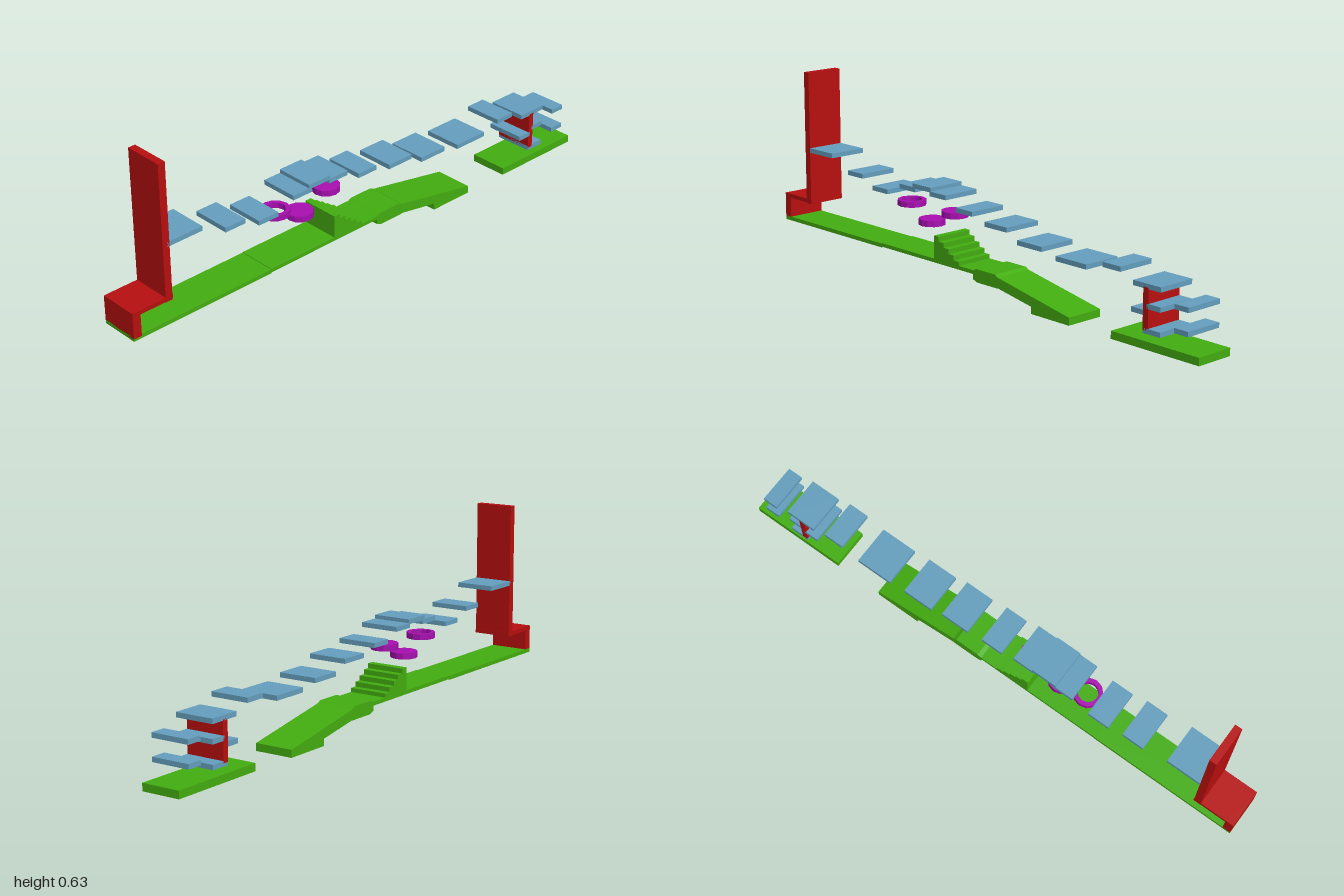
import * as THREE from 'three';

const DEPTH = 0.14;
const material = (color) => new THREE.MeshStandardMaterial({ color, flatShading: true });

export function createModel() {
  const group = new THREE.Group();
  const green = material(0x43ad10);
  const red = material(0xb80f0f);
  const blue = material(0x659fbe);
  const purple = material(0xa80fb0);

  const add = (name, geometry, mat) => {
    const mesh = new THREE.Mesh(geometry, mat);
    mesh.name = name;
    group.add(mesh);
    return mesh;
  };

  // Full-depth block given by its x and y extents
  const block = (name, x0, x1, y0, y1, mat) => {
    const mesh = add(name, new THREE.BoxGeometry(x1 - x0, y1 - y0, DEPTH), mat);
    mesh.position.set((x0 + x1) / 2, (y0 + y1) / 2, 0);
  };

  // Side profile extruded across the depth
  const profile = (name, points, mat, holes = []) => {
    const shape = new THREE.Shape(points.map(([x, y]) => new THREE.Vector2(x, y)));
    shape.holes.push(...holes);
    const geometry = new THREE.ExtrudeGeometry(shape, { depth: DEPTH, bevelEnabled: false });
    geometry.translate(0, 0, -DEPTH / 2);
    add(name, geometry, mat);
  };

  // Ground: long floor, hump, descending ramp and far island
  block('floorLeft', -1, -0.45, 0.072, 0.086, green);
  block('floorRight', -0.45, 0.03, 0.075, 0.088, green);
  profile('hump', [[0.02, 0.057], [0.04, 0.05], [0.135, 0.05], [0.14, 0.055],
    [0.14, 0.086], [0.125, 0.095], [0.035, 0.095], [0.02, 0.088]], green);
  profile('ramp', [[0.13, 0.053], [0.295, 0.024], [0.295, 0], [0.465, 0],
    [0.465, 0.026], [0.13, 0.089]], green);
  block('island', 0.645, 1, 0, 0.026, green);

  // Stairs descending to the right
  const stairs = [[-0.175, 0.08]];
  const steps = 5, run = 0.025, rise = 0.0165;
  for (let i = 0; i < steps; i++) {
    const x = -0.175 + i * run, y = 0.168 - i * rise;
    stairs.unshift([x, y], [x + run, y]);
  }
  // Reorder so the outline runs tread by tread from the top
  const outline = [[-0.175, 0.08]];
  for (let i = steps - 1; i >= 0; i--) {
    const x = -0.175 + i * run, y = 0.168 - i * rise;
    if (i === steps - 1) outline.push([x + run, 0.08]);
    outline.push([x + run, y], [x, y]);
  }
  profile('stairs', outline, green);

  // Red start ledge, tall wall and small pillar
  block('ledgeSide', -1, -0.97, 0.08, 0.172, red);
  block('ledgeTop', -1, -0.845, 0.157, 0.172, red);
  block('tallWall', -0.873, -0.847, 0.155, 0.635, red);
  block('pillar', 0.775, 0.796, 0.06, 0.195, red);

  // Floating platforms: x start, x end, underside height
  const platforms = [
    [-0.855, -0.72, 0.345], [-0.63, -0.55, 0.3], [-0.495, -0.415, 0.268],
    [-0.35, -0.27, 0.3], [-0.283, -0.19, 0.313], [-0.195, -0.115, 0.3],
    [-0.065, 0.015, 0.268], [0.075, 0.18, 0.246], [0.228, 0.34, 0.214],
    [0.403, 0.537, 0.197], [0.605, 0.68, 0.22], [0.733, 0.845, 0.19],
    [0.9, 0.955, 0.152], [0.79, 0.845, 0.128], [0.727, 0.782, 0.106],
    [0.9, 0.955, 0.078], [0.775, 0.845, 0.05],
  ];
  platforms.forEach(([x0, x1, y], i) => block(`platform${i + 1}`, x0, x1, y, y + 0.0165, blue));

  // Floating ring with an open centre
  const ring = new THREE.LatheGeometry([
    [0.035, -0.01], [0.05, -0.01], [0.05, 0.01], [0.035, 0.01], [0.035, -0.01],
  ].map(([r, y]) => new THREE.Vector2(r, y)), 12);
  add('ring', ring, purple).position.set(-0.368, 0.239, 0);

  // Floating discs
  [[-0.263, 0.19], [-0.146, 0.239]].forEach(([x, y], i) => {
    add(`disc${i + 1}`, new THREE.CylinderGeometry(0.047, 0.047, 0.021, 12), purple).position.set(x, y, 0);
  });

  return group;
}
